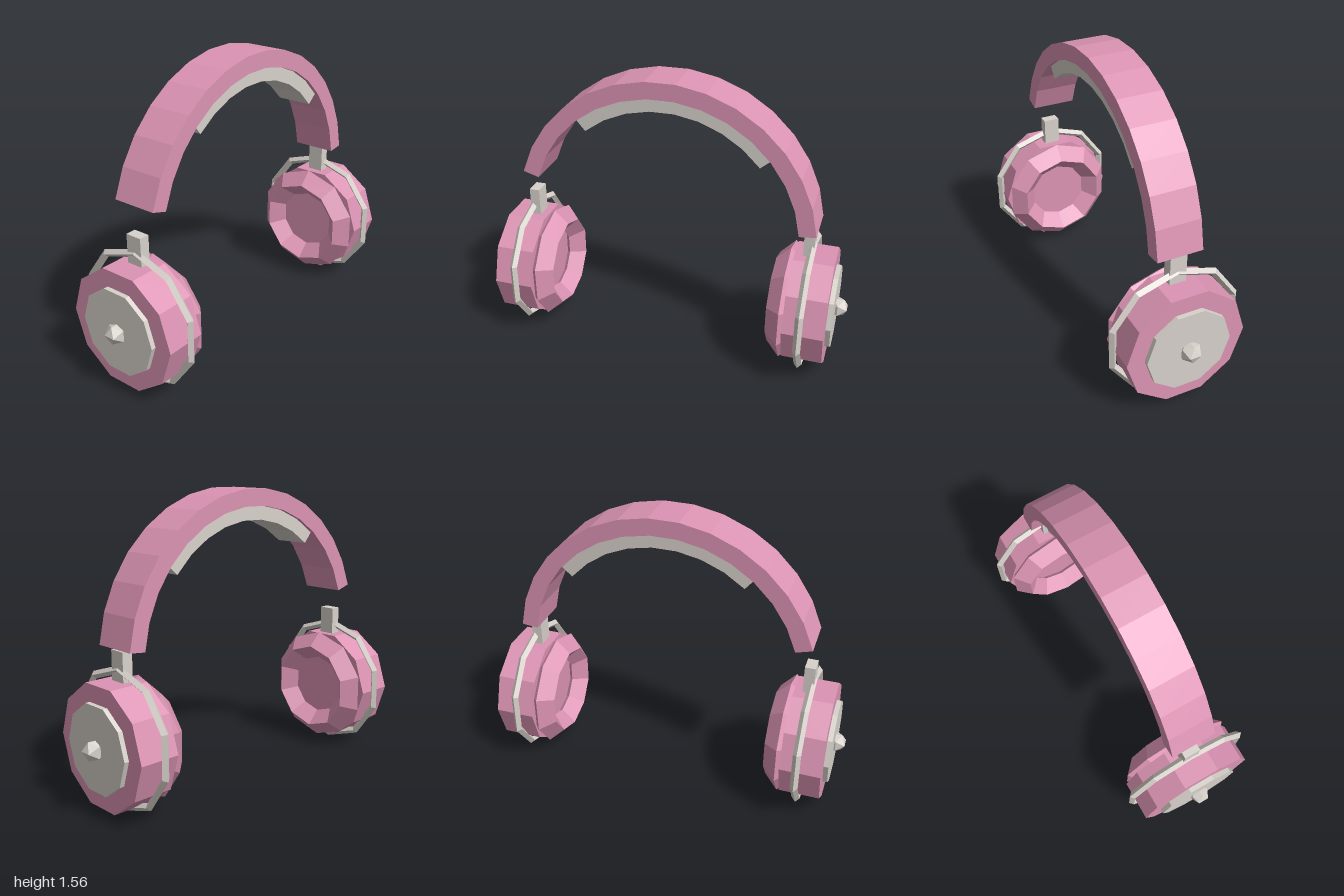
import * as THREE from 'three';

export function createModel() {
  const model = new THREE.Group();
  model.name = 'headphones';

  const pink = new THREE.MeshStandardMaterial({ color: 0xdc94b4, flatShading: true });
  pink.name = 'pink';
  const grey = new THREE.MeshStandardMaterial({ color: 0xd8d2cb, flatShading: true });
  grey.name = 'warm grey';

  const CUP_Y = 0.36;
  const SHIFT = -0.003;

  function add(parent, name, geometry, material, x, y) {
    const mesh = new THREE.Mesh(geometry, material);
    mesh.name = name;
    mesh.position.set(x, y, 0);
    parent.add(mesh);
    return mesh;
  }

  // Arched strip between two radii, stepping through the shared arc divisions
  const arcAngle = (i) => THREE.MathUtils.degToRad(6.3 + 11.24 * i);
  function archGeometry(inner, outer, first, last, width) {
    const points = [];
    const push = (r, i) =>
      points.push(new THREE.Vector2(r * Math.cos(arcAngle(i)), r * Math.sin(arcAngle(i))));
    for (let i = first; i <= last; i++) push(outer, i);
    for (let i = last; i >= first; i--) push(inner, i);
    const geometry = new THREE.ExtrudeGeometry(new THREE.Shape(points), {
      depth: width, bevelEnabled: false,
    });
    return geometry.translate(0, 0, -width / 2);
  }

  // Ten-sided disc lying on the x axis
  const disc = (radius, width) =>
    new THREE.CylinderGeometry(radius, radius, width, 10).rotateZ(Math.PI / 2);

  // Ten-sided ring around the x axis with a diamond section and a corner at the top
  const ring = (radius, tube) =>
    new THREE.TorusGeometry(radius, tube, 4, 10).rotateZ(Math.PI / 2).rotateY(Math.PI / 2);

  // Headband, slightly lopsided, with the pad beneath it
  add(model, 'headband', archGeometry(0.73, 0.82, 0, 14, 0.244), pink, SHIFT, 0.743);
  add(model, 'headbandPad', archGeometry(0.657, 0.73, 3, 11, 0.2), grey, SHIFT, 0.743);

  // Ear pieces
  for (const [side, s] of [['left', 1], ['right', -1]]) {
    const ear = new THREE.Group();
    ear.name = side + 'EarPiece';
    model.add(ear);
    const at = (x) => s * x + SHIFT;

    add(ear, 'cup', disc(0.325, 0.215), pink, at(0.81), CUP_Y);
    add(ear, 'cushion', ring(0.245, 0.076), pink, at(0.679), CUP_Y);
    add(ear, 'outerCap', disc(0.23, 0.05), grey, at(0.918), CUP_Y);
    add(ear, 'knob', new THREE.IcosahedronGeometry(0.056), grey, s * 0.952, CUP_Y);
    add(ear, 'hoop', ring(0.354, 0.021), grey, at(0.79), 0.375);
    add(ear, 'stem', new THREE.BoxGeometry(0.056, 0.2, 0.09), grey, at(0.774), 0.722);
  }

  return model;
}
